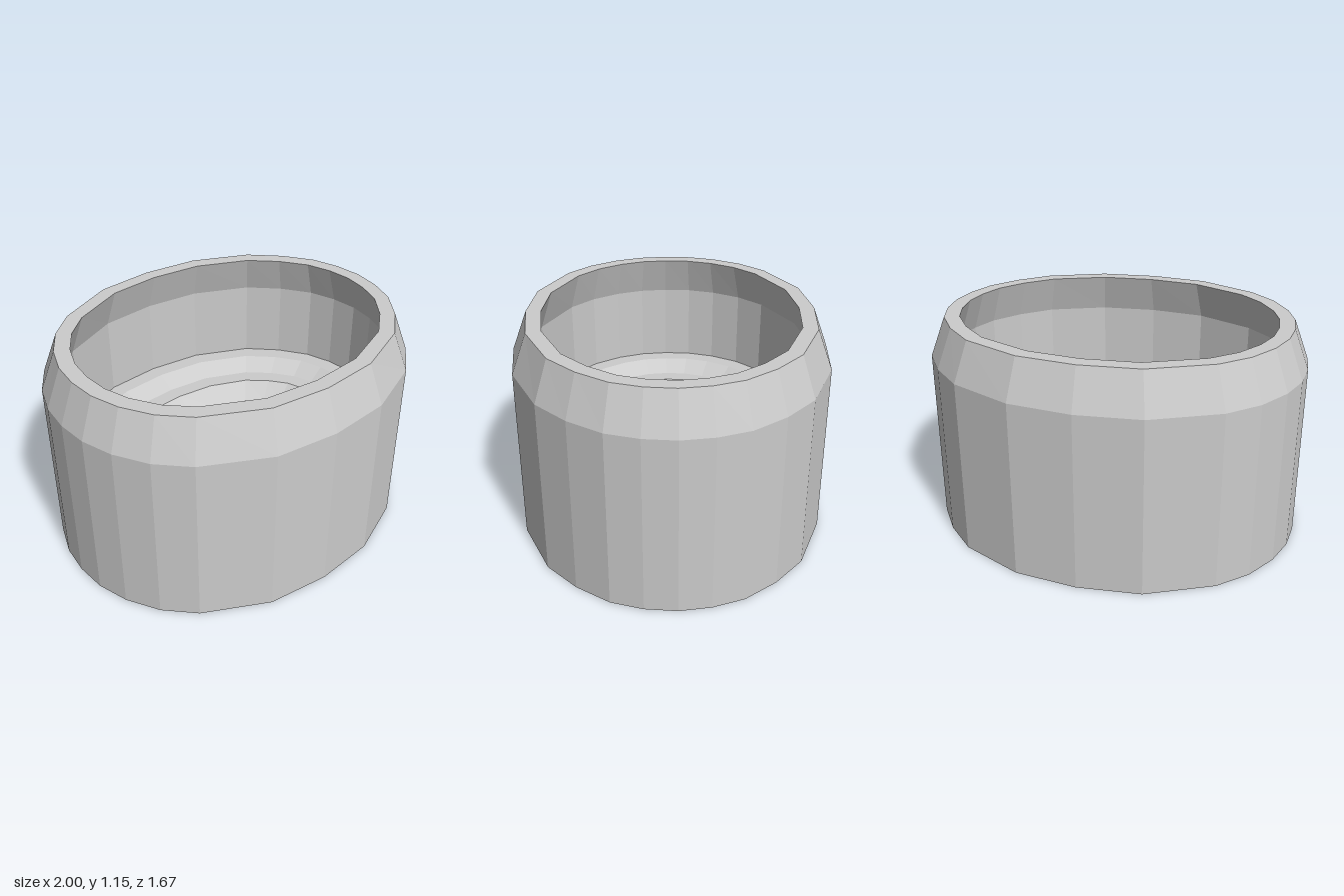
import * as THREE from 'three';

// Half outline of the faceted oval (x, z), from the left tip round the front to the right tip
const HALF = [
  [1, 0], [0.98, 0.165], [0.925, 0.33], [0.805, 0.5], [0.64, 0.655], [0.31, 0.8], [-0.02, 0.835],
  [-0.35, 0.8], [-0.685, 0.635], [-0.83, 0.495], [-0.93, 0.33], [-0.985, 0.165], [-1, 0],
];
const OUTLINE = [...HALF, ...HALF.slice(1, -1).reverse().map(([x, z]) => [x, -z])];
const RX = 1, RZ = 0.835;

// Oval ring with half sizes rx, rz at height y
function ring(rx, rz, y, shiftX = 0) {
  return OUTLINE.map(([x, z]) => new THREE.Vector3((x * rx) / RX + shiftX, y, (z * rz) / RZ));
}

// Ring moved inward by the same distance all round
const inset = (d, y) => ring(RX - d, RZ - d, y);

// Skin a series of rings with flat facets
function skin(name, rings, material) {
  const pos = [];
  const tri = (a, b, c) => {
    if (a.equals(b) || b.equals(c) || c.equals(a)) return;
    for (const v of [a, b, c]) pos.push(v.x, v.y, v.z);
  };
  for (let i = 0; i < rings.length - 1; i++) {
    const a = rings[i], b = rings[i + 1];
    for (let j = 0; j < a.length; j++) {
      const k = (j + 1) % a.length;
      tri(a[j], b[j], b[k]);
      tri(a[j], b[k], a[k]);
    }
  }
  const geometry = new THREE.BufferGeometry();
  geometry.setAttribute('position', new THREE.Float32BufferAttribute(pos, 3));
  geometry.computeVertexNormals();
  const mesh = new THREE.Mesh(geometry, material);
  mesh.name = name;
  return mesh;
}

export function createModel() {
  const group = new THREE.Group();
  group.name = 'ovalBasin';
  const grey = new THREE.MeshStandardMaterial({ color: 0xcccccc, flatShading: true });

  // Closed base, upright wall and tapered shoulder
  group.add(skin('outerWall', [ring(0, 0, 0), inset(0, 0), inset(0, 0.94), inset(0.08, 1.15)], grey));

  // Flat rim
  group.add(skin('rim', [inset(0.08, 1.15), inset(0.16, 1.15)], grey));

  // Inner wall, undercut behind the rim
  group.add(skin('innerWall', [inset(0.16, 1.15), inset(0.09, 0.94), inset(0.09, 0.51)], grey));

  // Terraced floor stepping down to the middle
  group.add(skin('steppedFloor', [
    inset(0.09, 0.51), inset(0.18, 0.51),
    inset(0.275, 0.45), inset(0.365, 0.45),
    inset(0.455, 0.36), inset(0.545, 0.36),
    inset(0.545, 0.31), ring(0.15, 0.145, 0.31, -0.02),
    ring(0.15, 0.145, 0.26, -0.02), ring(0, 0, 0.26, -0.02),
  ], grey));

  return group;
}
